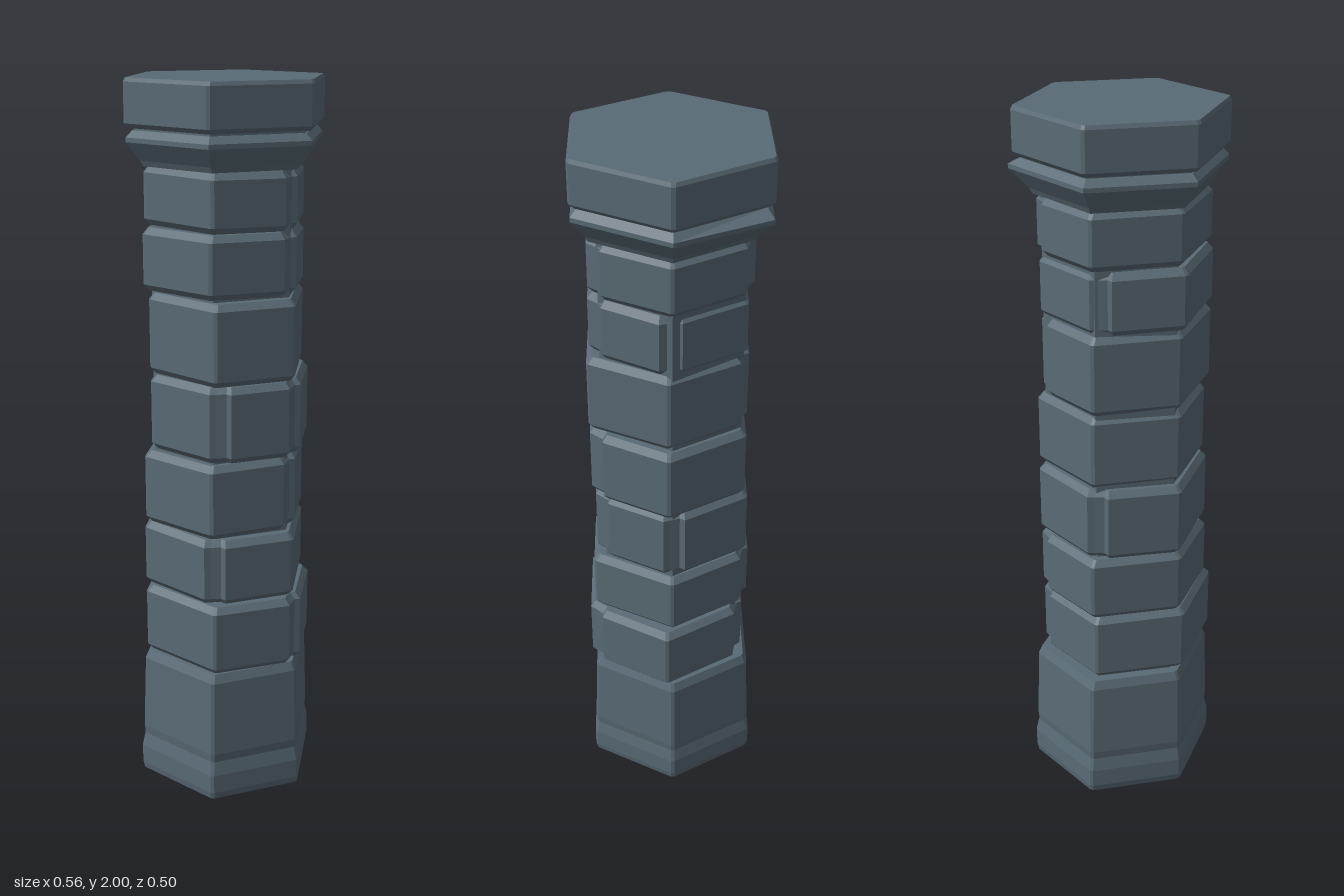
import * as THREE from 'three';

const stone = new THREE.MeshStandardMaterial({ color: 0x5a6b76 });
stone.name = 'slateStone';

// Small seeded generator for the uneven hand-cut stones
let seed = 11;
const jitter = (a) => {
  seed = (seed * 16807) % 2147483647;
  return (seed / 2147483647 * 2 - 1) * a;
};

// Six corners, starting at +x and turning towards the front (+z)
function hexagon(rx, rz) {
  return [[1, 0], [0.5, 1], [-0.5, 1], [-1, 0], [-0.5, -1], [0.5, -1]]
    .map(([x, z]) => new THREE.Vector2(x * rx, z * rz));
}

// Replaces chosen corners by a worn joint; the others get a narrow chamfer
function cutCorners(hex, joints) {
  const out = [];
  hex.forEach((p, i) => {
    const toward = (q, d) => p.clone().add(q.clone().sub(p).setLength(d));
    const prev = hex[(i + 5) % 6], next = hex[(i + 1) % 6];
    if (joints.includes(i)) {
      out.push(toward(prev, 0.04), toward(prev, 0.025).multiplyScalar(0.93),
        toward(next, 0.008).multiplyScalar(0.93), toward(next, 0.028));
    } else {
      out.push(toward(prev, 0.006), toward(next, 0.006));
    }
  });
  return out;
}

// Flat-faced closed loft through rings of equal point count
function loft(rings) {
  const pos = [];
  const tri = (...pts) => pts.forEach((p) => pos.push(p.x, p.y, p.z));
  const n = rings[0].length;
  const middle = (ring) => ring
    .reduce((s, p) => s.add(p), new THREE.Vector3()).divideScalar(n);
  const last = rings[rings.length - 1];
  const low = middle(rings[0]), high = middle(last);
  for (let i = 0; i < n; i++) {
    const j = (i + 1) % n;
    for (let k = 0; k < rings.length - 1; k++) {
      const a = rings[k], b = rings[k + 1];
      tri(a[i], b[i], a[j]);
      tri(a[j], b[i], b[j]);
    }
    tri(low, rings[0][i], rings[0][j]);
    tri(high, last[j], last[i]);
  }
  const g = new THREE.BufferGeometry();
  g.setAttribute('position', new THREE.Float32BufferAttribute(pos, 3));
  g.computeVertexNormals();
  return g;
}

const ringAt = (outline, y, s = 1, cx = 0, cz = 0) =>
  outline.map((p) => new THREE.Vector3(cx + p.x * s, y, cz + p.y * s));

export function createModel() {
  const column = new THREE.Group();
  column.name = 'stoneColumn';
  const add = (name, rings) => {
    const mesh = new THREE.Mesh(loft(rings), stone);
    mesh.name = name;
    column.add(mesh);
  };

  // Tapered plinth with a worn foot
  const plinth = cutCorners(hexagon(0.267, 0.24), []);
  add('plinth', [[0, 0.985], [0.02, 1], [0.075, 1], [0.115, 0.965], [0.14, 0.975],
    [0.36, 0.945], [0.385, 0.9]].map(([y, s]) => ringAt(plinth, y, s)));

  // Mortar core seen in the joints
  const core = hexagon(0.213, 0.186);
  add('core', [ringAt(core, 0.37), ringAt(core, 1.8)]);

  // Courses: bottom, top, min x, max x, min z, max z, jointed corners
  const courses = [
    [0.392, 0.592, -0.247, 0.25, -0.207, 0.238, [1, 5]],
    [0.598, 0.785, -0.243, 0.232, -0.22, 0.222, [2, 5]],
    [0.79, 1.0, -0.24, 0.233, -0.21, 0.211, [0, 1, 4]],
    [1.004, 1.215, -0.222, 0.24, -0.2, 0.22, [1, 2]],
    [1.22, 1.442, -0.223, 0.22, -0.203, 0.222, [5]],
    [1.447, 1.615, -0.238, 0.223, -0.195, 0.214, [0, 1, 4]],
    [1.62, 1.775, -0.23, 0.223, -0.21, 0.212, [1, 5]],
  ];
  courses.forEach(([y0, y1, x0, x1, z0, z1, joints], i) => {
    const cx = (x0 + x1) / 2, cz = (z0 + z1) / 2;
    const outline = cutCorners(hexagon((x1 - x0) / 2 + 0.003, (z1 - z0) / 2), joints);
    const tx = jitter(0.02), tz = jitter(0.02);
    const rings = [[y0, 0.94], [y0 + 0.016, 1], [y1 - 0.018, 1], [y1, 0.93]]
      .map(([y, s]) => ringAt(outline, y, s, cx, cz));
    // Slightly sloping bed joints
    rings.forEach((ring) => ring.forEach((p) => { p.y += p.x * tx + p.z * tz; }));
    add(`course${i + 1}`, rings);
  });

  // Flared moulding below the top slab, with one corner knocked outward
  const moulding = hexagon(0.279, 0.246);
  const flare = [[1.775, 0.83], [1.79, 0.86], [1.838, 0.995], [1.85, 0.995], [1.868, 0.93]]
    .map(([y, s]) => ringAt(moulding, y, s));
  flare[2][5].x += 0.022;
  flare[3][5].x += 0.022;
  add('moulding', flare);

  // Neck and top slab
  const neck = hexagon(0.255, 0.225);
  add('neck', [ringAt(neck, 1.86), ringAt(neck, 1.89)]);
  const slab = cutCorners(hexagon(0.283, 0.248), []);
  add('topSlab', [[1.874, 0.96], [1.886, 1], [1.99, 1], [2, 0.98]]
    .map(([y, s]) => ringAt(slab, y, s)));

  return column;
}
